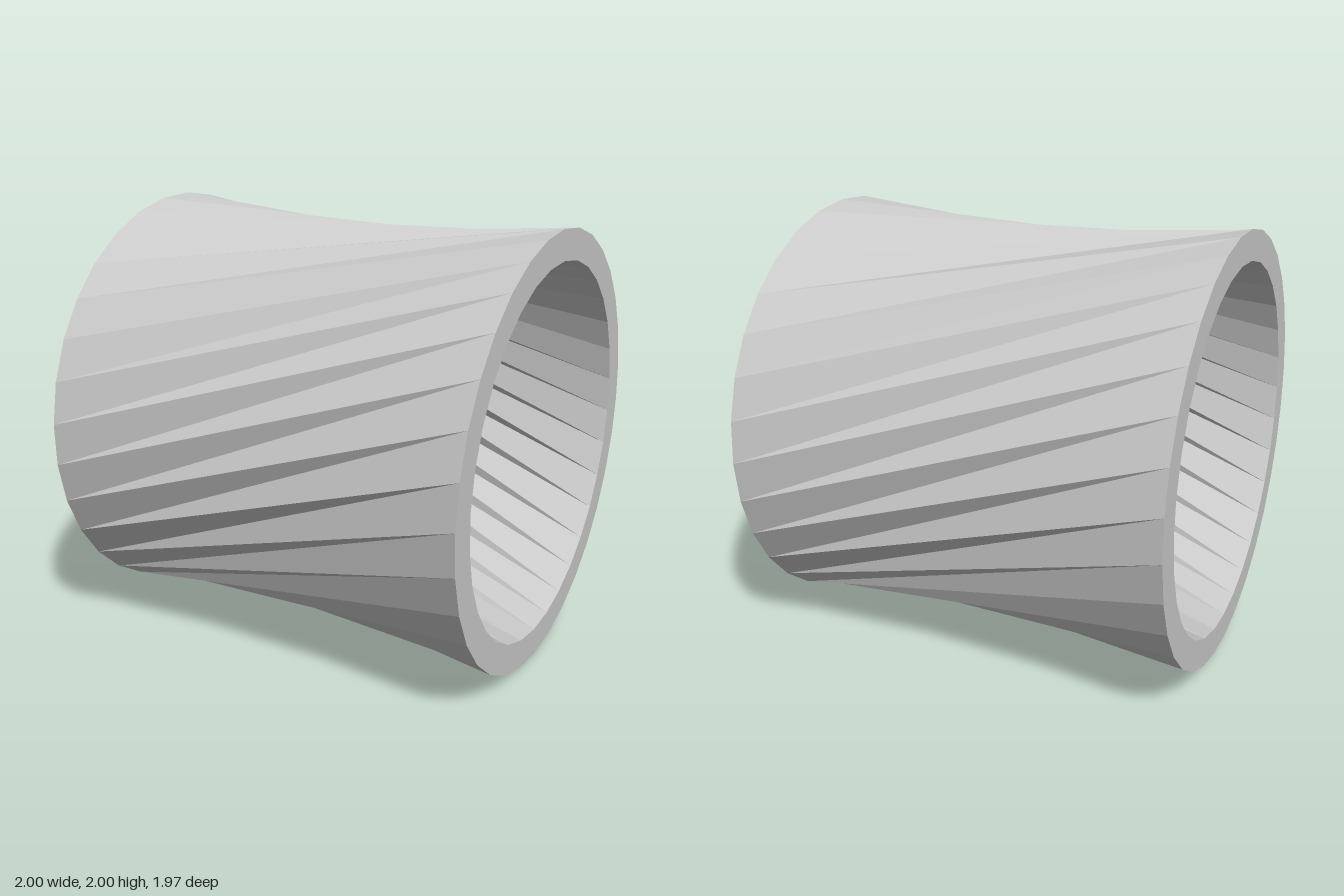
import * as THREE from 'three';

const SIDES = 32;
const rad = THREE.MathUtils.degToRad;

// One end of the sleeve: centre and the slight lean of its plane
const leftEnd = { x: -0.987, y: 1.018, leanY: 0.0125, leanZ: 0.012 };
const rightEnd = { x: 0.981, y: 0.985, leanY: 0.016, leanZ: -0.003 };

// Closed ring of points around the x axis, turned by an offset in degrees
function ring(end, radius, offset) {
  return Array.from({ length: SIDES }, (_, i) => {
    const a = (i / SIDES) * Math.PI * 2 + rad(offset);
    const y = radius * Math.sin(a);
    const z = radius * Math.cos(a);
    return [end.x + end.leanY * y + end.leanZ * z, end.y + y, z];
  });
}

// Strip of triangles from ring a to ring b; flip turns it to face the axis
function band(name, a, b, material, flip = false) {
  const points = [];
  for (let i = 0; i < SIDES; i++) {
    const j = (i + 1) % SIDES;
    const tris = [[a[i], b[i], b[j]], [a[i], b[j], a[j]]];
    for (const [p, q, r] of tris) points.push(...p, ...(flip ? r : q), ...(flip ? q : r));
  }
  const geometry = new THREE.BufferGeometry();
  geometry.setAttribute('position', new THREE.Float32BufferAttribute(points, 3));
  geometry.computeVertexNormals();
  const mesh = new THREE.Mesh(geometry, material);
  mesh.name = name;
  return mesh;
}

export function createModel() {
  const group = new THREE.Group();
  group.name = 'twistedSleeve';
  const material = new THREE.MeshStandardMaterial({ color: 0xcccccc, flatShading: true });

  // The twist between the ends draws straight walls in to a waist
  const outerLeft = ring(leftEnd, 0.98, -41);
  const outerRight = ring(rightEnd, 0.985, 0);
  const innerLeft = ring(leftEnd, 0.843, 2.1 - 46);
  const innerRight = ring(rightEnd, 0.848, 2.1);

  group.add(
    band('outerWall', outerLeft, outerRight, material),
    band('innerWall', innerLeft, innerRight, material, true),
    band('rightRim', outerRight, innerRight, material),
    band('leftRim', innerLeft, outerLeft, material)
  );
  return group;
}
